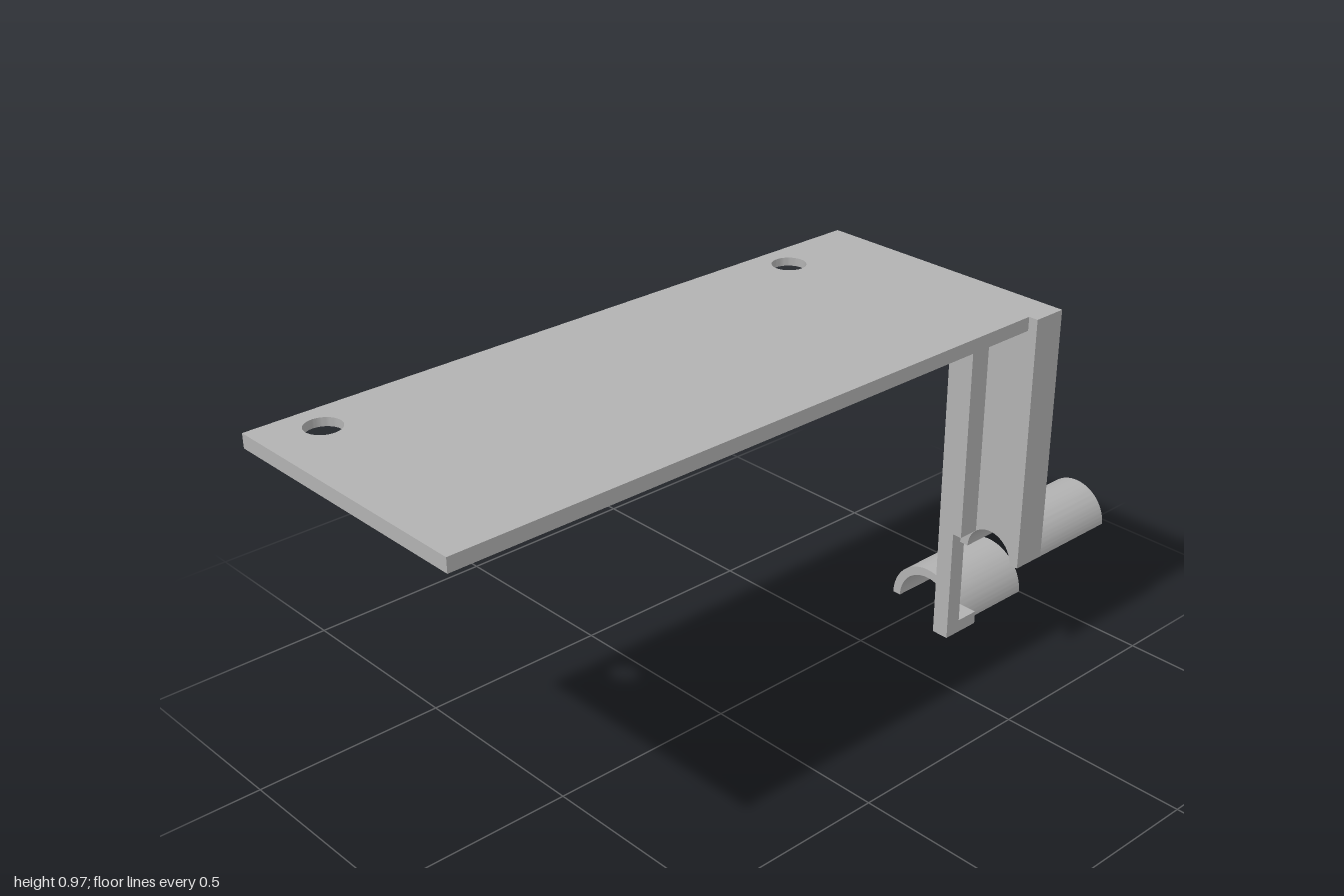
import * as THREE from 'three';
import { toCreasedNormals } from 'three/addons/utils/BufferGeometryUtils.js';

export function createModel() {
  const group = new THREE.Group();
  const grey = new THREE.MeshStandardMaterial({ color: 0xb2b2b2 });
  grey.name = 'plain grey';

  const add = (name, geometry) => {
    const mesh = new THREE.Mesh(geometry, grey);
    mesh.name = name;
    group.add(mesh);
    return mesh;
  };

  // Box given by its lower and upper corners
  const box = (name, [x0, y0, z0], [x1, y1, z1]) =>
    add(name, new THREE.BoxGeometry(x1 - x0, y1 - y0, z1 - z0))
      .position.set((x0 + x1) / 2, (y0 + y1) / 2, (z0 + z1) / 2);

  // Front outline extruded from z0 to z1, with smooth curves and sharp edges
  const extrude = (shape, z0, z1) => {
    const g = new THREE.ExtrudeGeometry(shape, { depth: z1 - z0, bevelEnabled: false, curveSegments: 32 });
    g.translate(0, 0, z0);
    return toCreasedNormals(g, 0.5);
  };

  // Plate in two layers: round holes above, square nut recesses below
  const left = -0.365, right = 0.34, back = -0.75, front = 1;
  const holeX = -0.28, holeZs = [-0.49, 0.86], holeR = 0.043, recess = 0.08;
  const rectangle = (path, x0, y0, x1, y1) =>
    path.moveTo(x0, y0).lineTo(x1, y0).lineTo(x1, y1).lineTo(x0, y1).closePath();
  const plateLayer = (name, y0, y1, square) => {
    const shape = rectangle(new THREE.Shape(), left, -front, right, -back);
    for (const z of holeZs) {
      const hole = new THREE.Path();
      if (square) rectangle(hole, holeX - recess, -z - recess, holeX + recess, -z + recess);
      else hole.absarc(holeX, -z, holeR, 0, Math.PI * 2, true);
      shape.holes.push(hole);
    }
    const g = extrude(shape, y0, y1);
    g.rotateX(-Math.PI / 2);
    add(name, g);
  };
  plateLayer('plate', 0.949, 0.97, false);
  plateLayer('plateUnderside', 0.935, 0.949, true);

  // Half-round clips open at the bottom
  const clip = (name, x, y, inner, outer) => {
    const s = new THREE.Shape();
    s.absarc(x, y, outer, 0, Math.PI, false);
    s.lineTo(x - inner, y);
    s.absarc(x, y, inner, Math.PI, 0, true);
    s.closePath();
    add(name, extrude(s, -1, back));
  };
  clip('lowerClip', 0.002, 0, 0.093, 0.117);
  clip('upperClip', 0.2725, 0.308, 0.068, 0.0925);

  // Wide post, arched at the foot and notched around the plate corner
  const post = new THREE.Shape();
  post.moveTo(0.18, 0.308).lineTo(0.2045, 0.308);
  post.absarc(0.2725, 0.308, 0.068, Math.PI, 0, true);
  post.lineTo(0.365, 0.308).lineTo(0.365, 0.97).lineTo(right, 0.97);
  post.lineTo(right, 0.935).lineTo(0.18, 0.935).closePath();
  add('widePost', extrude(post, back, -0.66));
  box('stiffeningRib', [0.18, 0.36, -0.66], [0.228, 0.935, -0.603]);

  // Slim post with a foot reaching the lower clip
  box('slimPost', [0.125, 0.027, -0.685], [0.172, 0.935, -0.64]);
  box('slimPostFoot', [0.1, 0.027, back], [0.172, 0.062, -0.685]);

  return group;
}
